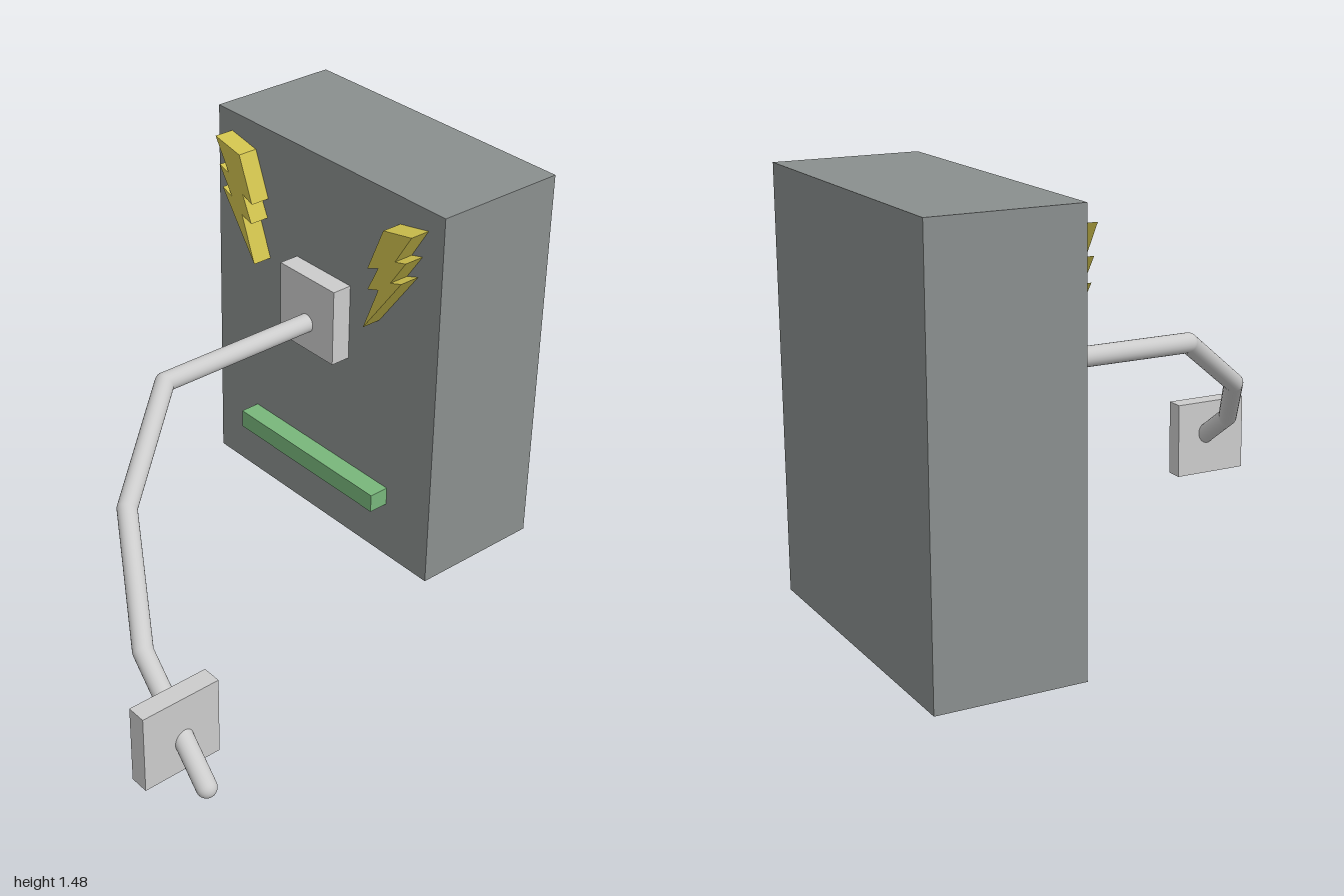
import * as THREE from 'three';

const grey = new THREE.MeshStandardMaterial({ color: 0xcccccc });
const slate = new THREE.MeshStandardMaterial({ color: 0x8a8f8e });
const yellow = new THREE.MeshStandardMaterial({ color: 0xcfc14d });
const green = new THREE.MeshStandardMaterial({ color: 0x78b67b });

const FACE_Z = -0.485;  // front of the cabinet
const RELIEF = 0.077;   // thickness of the parts mounted on it
const MID_X = -0.233;   // cabinet's mirror line

export function createModel() {
  const model = new THREE.Group();
  model.name = 'wallBoxWithCable';

  function add(name, geometry, material, parent = model) {
    const mesh = new THREE.Mesh(geometry, material);
    mesh.name = name;
    parent.add(mesh);
    return mesh;
  }

  // Box given by its extents on each axis
  function addBox(name, [x0, x1], [y0, y1], [z0, z1], material) {
    const mesh = add(name, new THREE.BoxGeometry(x1 - x0, y1 - y0, z1 - z0), material);
    mesh.position.set((x0 + x1) / 2, (y0 + y1) / 2, (z0 + z1) / 2);
  }

  const relief = [FACE_Z, FACE_Z + RELIEF];
  addBox('cabinet', [-0.825, 0.359], [0, 1.48], [-1, FACE_Z], slate);
  addBox('socketPlate', [-0.38, -0.09], [0.745, 1.04], relief, grey);
  addBox('greenBar', [-0.605, 0.138], [0.225, 0.296], relief, green);
  addBox('plugPlate', [0.584, 0.653], [0.078, 0.37], [0.705, 1], grey);

  // Lightning bolts: outline as offsets from the mirror line, drawn on both sides
  const bolt = [
    [0.517, 1.405], [0.381, 1.378], [0.31, 1.207], [0.363, 1.229],
    [0.314, 1.128], [0.367, 1.146], [0.297, 0.97], [0.478, 1.216],
    [0.425, 1.198], [0.495, 1.3], [0.443, 1.286],
  ];
  for (const [name, side] of [['leftBolt', 1], ['rightBolt', -1]]) {
    const shape = new THREE.Shape(bolt.map(([x, y]) => new THREE.Vector2(MID_X + side * x, y)));
    const geometry = new THREE.ExtrudeGeometry(shape, { depth: RELIEF, bevelEnabled: false });
    add(name, geometry, yellow).position.z = FACE_Z;
  }

  // Cable: round-ended rods joined end to end
  const joints = [
    [-0.234, 0.855, -0.42], [-0.234, 0.855, 0.23], [0.008, 0.615, 0.577],
    [0.384, 0.363, 0.8], [0.792, 0.116, 0.867],
  ].map((p) => new THREE.Vector3(...p));
  const cable = new THREE.Group();
  cable.name = 'cable';
  model.add(cable);
  const up = new THREE.Vector3(0, 1, 0);
  for (let i = 0; i < joints.length - 1; i++) {
    const span = joints[i + 1].clone().sub(joints[i]);
    const rod = add(`cableSegment${i + 1}`, new THREE.CapsuleGeometry(0.035, span.length(), 8, 24), grey, cable);
    rod.position.copy(joints[i]).addScaledVector(span, 0.5);
    rod.quaternion.setFromUnitVectors(up, span.normalize());
  }

  return model;
}
